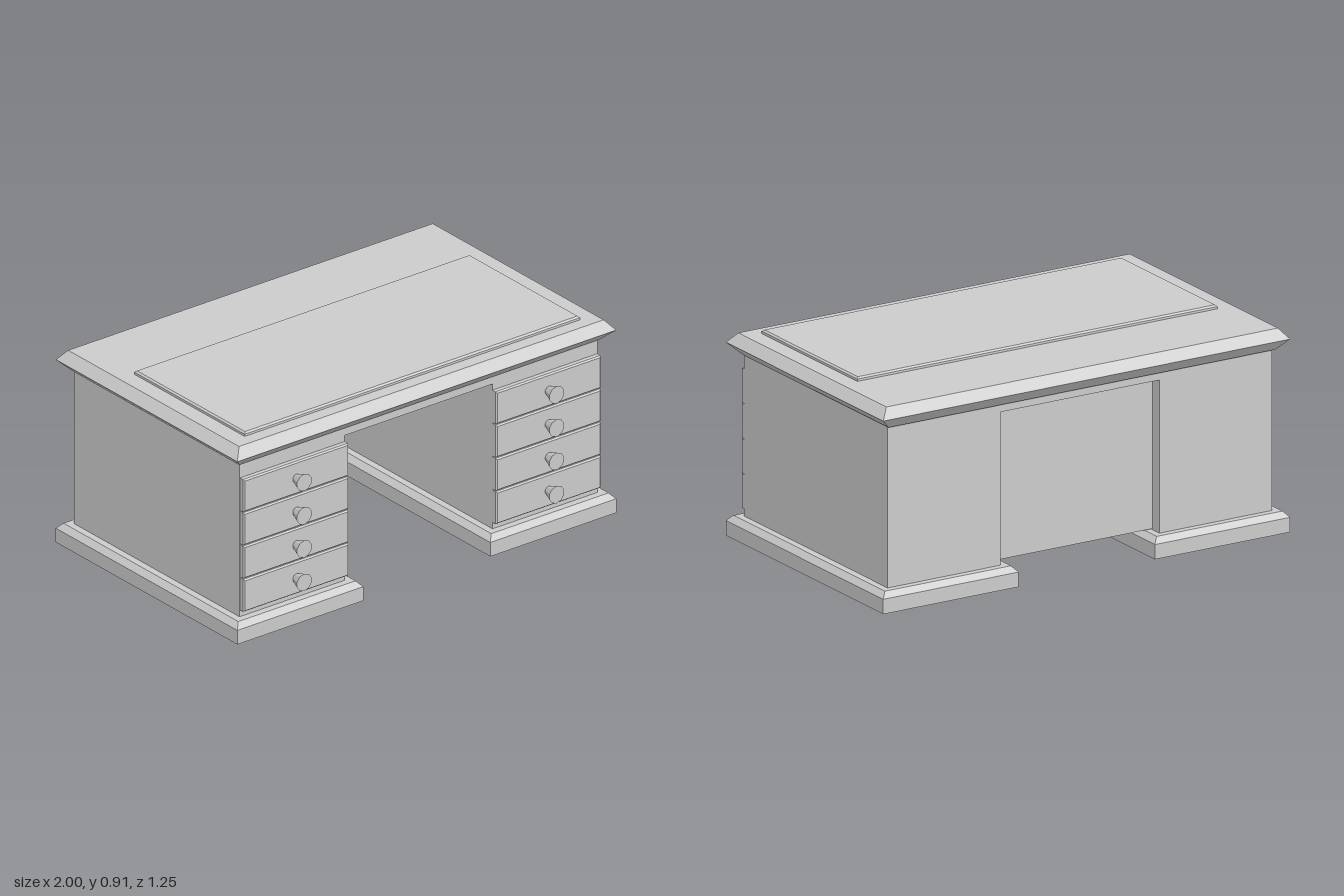
import * as THREE from 'three';

const solid = new THREE.MeshStandardMaterial({ color: 0xcccccc, flatShading: true });
const shell = new THREE.MeshStandardMaterial({ color: 0xcccccc, flatShading: true, side: THREE.DoubleSide });

// Joins rectangular sections [y, x0, x1, z0, z1], listed from bottom to top
function loft(sections, capped = true) {
  const pos = [];
  const rings = sections.map(([y, x0, x1, z0, z1]) =>
    [[x0, y, z1], [x1, y, z1], [x1, y, z0], [x0, y, z0]]);
  const quad = (a, b, c, d) => pos.push(...a, ...b, ...c, ...a, ...c, ...d);
  for (let s = 0; s < rings.length - 1; s++) {
    for (let i = 0; i < 4; i++) {
      const j = (i + 1) % 4;
      quad(rings[s][i], rings[s][j], rings[s + 1][j], rings[s + 1][i]);
    }
  }
  if (capped) {
    quad(...rings[rings.length - 1]);
    quad(...[...rings[0]].reverse());
  }
  const geo = new THREE.BufferGeometry();
  geo.setAttribute('position', new THREE.Float32BufferAttribute(pos, 3));
  geo.computeVertexNormals();
  return geo;
}

function add(parent, name, geo, material = solid) {
  const mesh = new THREE.Mesh(geo, material);
  mesh.name = name;
  parent.add(mesh);
  return mesh;
}

function box(parent, name, x0, x1, y0, y1, z0, z1) {
  return add(parent, name, loft([[y0, x0, x1, z0, z1], [y1, x0, x1, z0, z1]]));
}

// Drawer front with a small bevelled edge, and a flared round knob
function createDrawer(x, y) {
  const drawer = new THREE.Group();
  drawer.name = 'drawer';
  const w = 0.277, h = 0.075, b = 0.006;
  const front = loft([
    [0, -w, w, -h, h],
    [0.02, -w, w, -h, h],
    [0.027, -w + b, w - b, -h + b, h - b],
  ]);
  add(drawer, 'drawerFront', front.rotateX(Math.PI / 2));
  const knob = new THREE.CylinderGeometry(0.04, 0.02, 0.053, 10);
  add(drawer, 'knob', knob.rotateX(Math.PI / 2)).position.z = 0.0985 - 0.045;
  drawer.position.set(x, y, 0.545);
  return drawer;
}

// Open-bottomed pedestal on a hollow chamfered plinth
function createPedestal(side) {
  const pedestal = new THREE.Group();
  pedestal.name = side > 0 ? 'leftPedestal' : 'rightPedestal';
  const span = (a, b) => (side > 0 ? [a, b] : [-b, -a]);
  const outer = span(0.39, 0.945);
  add(pedestal, 'plinth', loft([
    [0, ...span(0.335, 1), -0.62, 0.6],
    [0.065, ...span(0.335, 1), -0.62, 0.6],
    [0.09, ...span(0.358, 0.977), -0.597, 0.577],
    [0.09, ...outer, -0.567, 0.545],
  ], false), shell);
  add(pedestal, 'pedestalWalls', loft([
    [0.09, ...outer, -0.567, 0.545],
    [0.797, ...outer, -0.567, 0.545],
  ], false), shell);
  // Drawer boxes behind the fronts
  box(pedestal, 'drawerCase', ...span(0.393, 0.942), 0.15, 0.74, 0.15, 0.54);
  for (let i = 0; i < 4; i++) {
    pedestal.add(createDrawer(side * 0.666, 0.195 + i * 0.154));
  }
  return pedestal;
}

export function createModel() {
  const desk = new THREE.Group();
  desk.name = 'desk';

  desk.add(createPedestal(1), createPedestal(-1));

  // Rail over the kneehole and recessed back panel
  box(desk, 'kneeholeRail', -0.39, 0.39, 0.76, 0.797, -0.567, 0.545);
  box(desk, 'backPanel', -0.39, 0.39, 0.095, 0.76, -0.515, -0.465);

  // Top with sloping upper and lower edges
  add(desk, 'deskTop', loft([
    [0.797, -0.95, 0.95, -0.582, 0.55],
    [0.845, -1, 1, -0.62, 0.6],
    [0.89, -0.962, 0.962, -0.585, 0.563],
  ]));

  // Raised writing surface
  add(desk, 'writingPad', loft([
    [0.89, -0.885, 0.885, -0.238, 0.503],
    [0.9, -0.885, 0.885, -0.238, 0.503],
    [0.907, -0.877, 0.877, -0.23, 0.495],
  ]));

  return desk;
}
